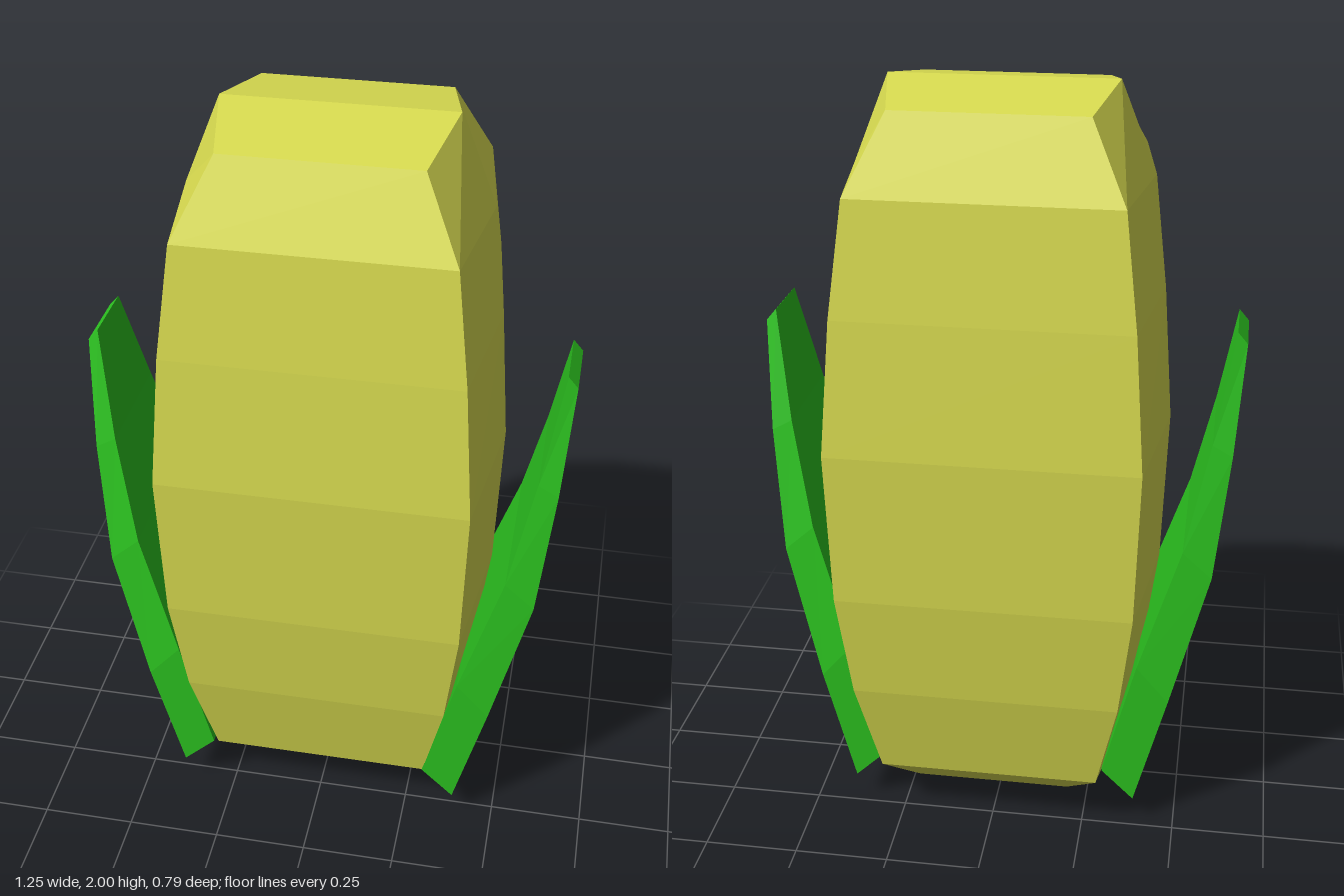
import * as THREE from 'three';

// Joins rings of points (bottom to top, counter-clockwise from above) into a closed faceted solid
function loft(rings) {
  const pos = [];
  const n = rings[0].length;
  const quad = (a, b, c, d) => pos.push(...a, ...b, ...c, ...a, ...c, ...d);
  for (let k = 0; k < rings.length - 1; k++) {
    for (let i = 0; i < n; i++) {
      const j = (i + 1) % n;
      quad(rings[k][i], rings[k][j], rings[k + 1][j], rings[k + 1][i]);
    }
  }
  // End caps as strips, so the body ends keep their ridges
  const lo = rings[0], hi = rings[rings.length - 1];
  for (let i = 0; i < n / 2 - 1; i++) {
    quad(hi[i], hi[i + 1], hi[n - 2 - i], hi[n - 1 - i]);
    quad(lo[n - 1 - i], lo[n - 2 - i], lo[i + 1], lo[i]);
  }
  const g = new THREE.BufferGeometry();
  g.setAttribute('position', new THREE.Float32BufferAttribute(pos, 3));
  g.computeVertexNormals();
  return g;
}

export function createModel() {
  const model = new THREE.Group();
  const yellow = new THREE.MeshStandardMaterial({ color: 0xd9dc50, flatShading: true });
  const green = new THREE.MeshStandardMaterial({ color: 0x2bc01f, flatShading: true });

  // Cob: [corner y, corner half width, side ridge y, side ridge x]
  const levels = [
    [0.075, 0.208, 0, 0.265],
    [0.16, 0.295, 0.135, 0.333],
    [0.43, 0.352, 0.43, 0.39],
    [0.72, 0.385, 0.72, 0.428],
    [1.13, 0.396, 1.13, 0.441],
    [1.48, 0.37, 1.48, 0.415],
    [1.77, 0.335, 1.77, 0.381],
    [1.96, 0.242, 2, 0.288],
  ];
  const cob = new THREE.Mesh(loft(levels.map(([y, r, my, mx]) => [
    [r, y, r], [mx, my, 0], [r, y, -r], [-r, y, -r], [-mx, my, 0], [-r, y, r],
  ])), yellow);
  cob.name = 'cob';
  cob.position.x = 0.006;
  model.add(cob);

  // Husk leaf: [outer x, outer y, inner x, inner y, half width]
  const sections = [
    [0.388, 0.08, 0.3, 0.165, 0.272],
    [0.472, 0.4, 0.385, 0.5, 0.272],
    [0.568, 0.76, 0.49, 0.83, 0.228],
    [0.603, 1.08, 0.55, 1.11, 0.165],
    [0.623, 1.36, 0.597, 1.39, 0.09],
  ];
  const leafGeometry = loft(sections.map(([ox, oy, ix, iy, w]) => [
    [ox, oy, w], [ox, oy, -w], [ix, iy, -w], [ix, iy, w],
  ]));
  ['leftHuskLeaf', 'rightHuskLeaf'].forEach((name, i) => {
    const leaf = new THREE.Mesh(leafGeometry, green);
    leaf.name = name;
    leaf.rotation.y = i * Math.PI;
    leaf.position.z = 0.03;
    model.add(leaf);
  });

  return model;
}
